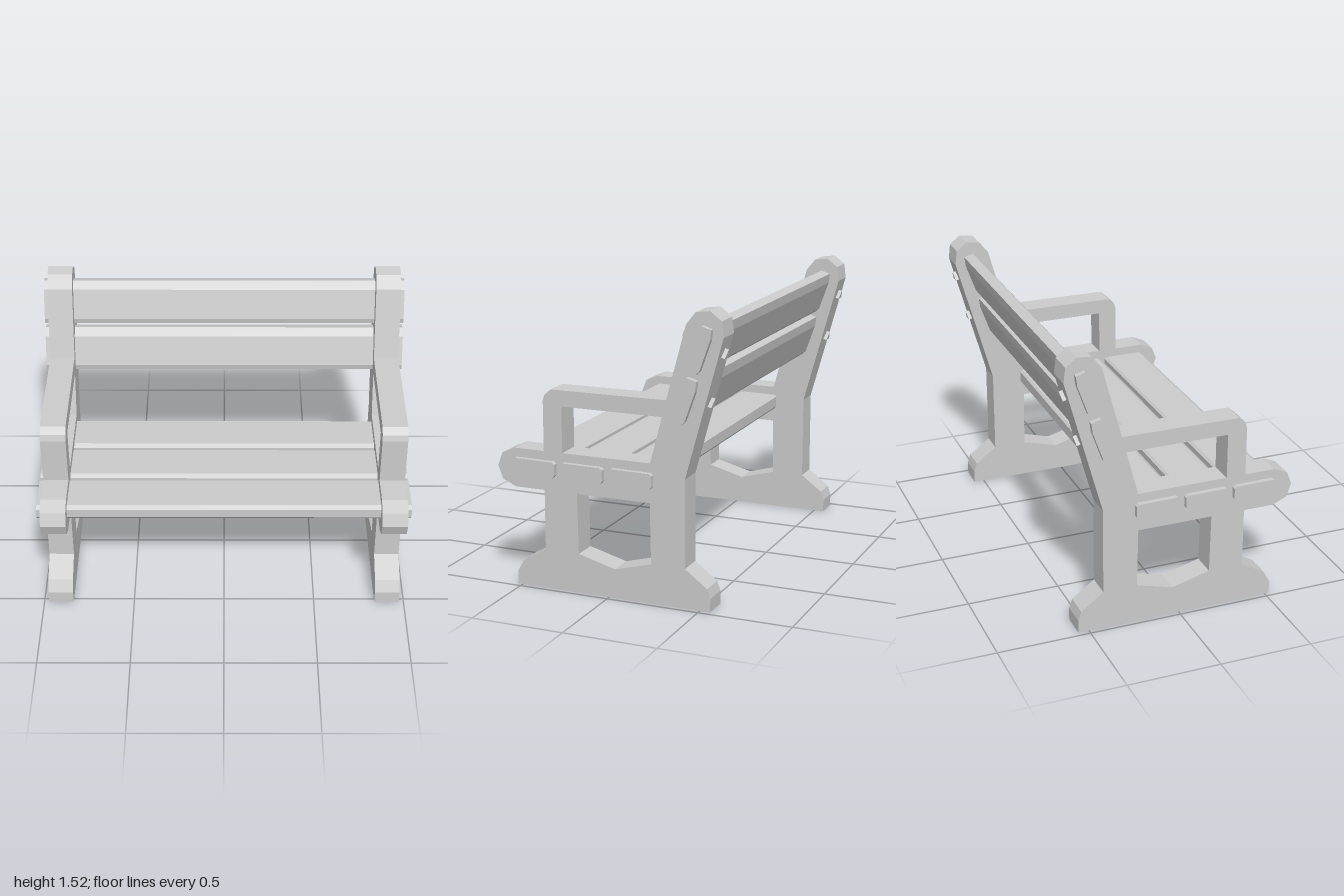
import * as THREE from 'three';

const material = new THREE.MeshStandardMaterial({ color: 0xcccccc, flatShading: true });
const toPoints = (list) => list.map(([z, y]) => new THREE.Vector2(z, y));

// Extrudes a side profile of [z, y] points across x, centred on x = 0
function extrudeAcross(outline, width, holes = []) {
  const shape = new THREE.Shape(toPoints(outline));
  shape.holes = holes.map((h) => new THREE.Path(toPoints(h)));
  const geometry = new THREE.ExtrudeGeometry(shape, { depth: width, bevelEnabled: false });
  geometry.translate(0, 0, -width / 2);
  return geometry.rotateY(-Math.PI / 2);
}

export function createModel() {
  const bench = new THREE.Group();
  bench.name = 'bench';
  const add = (name, geometry, x = 0, y = 0, z = 0) => {
    const mesh = new THREE.Mesh(geometry, material);
    mesh.name = name;
    mesh.position.set(x, y, z);
    bench.add(mesh);
    return mesh;
  };

  // Side frame: foot, legs, seat rail, armrest and leaning back post in one profile
  const frameOutline = [
    [0.525, 0], [0.525, 0.07], [0.49, 0.135], [0.36, 0.21], [0.36, 0.53],
    [0.525, 0.53], [0.6, 0.563], [0.627, 0.635], [0.6, 0.705], [0.525, 0.737],
    [0.36, 0.737], [0.36, 1.0], [0.35, 1.033], [0.315, 1.063], [-0.32, 1.067],
    [-0.425, 1.452], [-0.475, 1.515], [-0.55, 1.525], [-0.61, 1.48], [-0.62, 1.4],
    [-0.42, 0.675], [-0.42, 0.21], [-0.54, 0.12], [-0.557, 0.07], [-0.557, 0],
  ];
  const armOpening = [[0.255, 0.737], [0.255, 0.98], [-0.297, 0.98], [-0.232, 0.737]];
  const legOpening = [[0.175, 0.53], [0.17, 0.21], [-0.035, 0.155], [-0.235, 0.21], [-0.23, 0.53]];
  const frame = extrudeAcross(frameOutline, 0.136, [armOpening, legOpening]);

  // Three-sided bolt heads on the rear face of each post
  const bolt = new THREE.CylinderGeometry(0.03, 0.03, 0.04, 3);

  for (const [side, x] of [['left', 0.905], ['right', -0.905]]) {
    add(`${side}Frame`, frame, x);
    for (const [label, y, z] of [['upper', 1.308, -0.594], ['lower', 1.058, -0.525]]) {
      add(`${side}${label === 'upper' ? 'Upper' : 'Lower'}Bolt`, bolt, x, y, z).rotation.x = -1.84;
    }
  }

  // Seat slats with chamfered edges
  const seatSlat = extrudeAcross([
    [0.123, -0.022], [0.123, 0.028], [0.1, 0.043], [-0.11, 0.041],
    [-0.123, 0.03], [-0.123, -0.028], [-0.112, -0.042], [0.106, -0.042],
  ], 2);
  [0.413, 0.144, -0.126].forEach((z, i) => add(`seatSlat${i + 1}`, seatSlat, 0, 0.648, z));

  // Tilted backrest slats
  const backSlat = extrudeAcross([
    [-0.515, 1.454], [-0.567, 1.438], [-0.56, 1.385], [-0.505, 1.23],
    [-0.485, 1.212], [-0.435, 1.225], [-0.43, 1.255], [-0.48, 1.415],
  ], 2);
  add('upperBackSlat', backSlat);
  add('lowerBackSlat', backSlat, 0, -0.259, 0.077);

  return bench;
}
